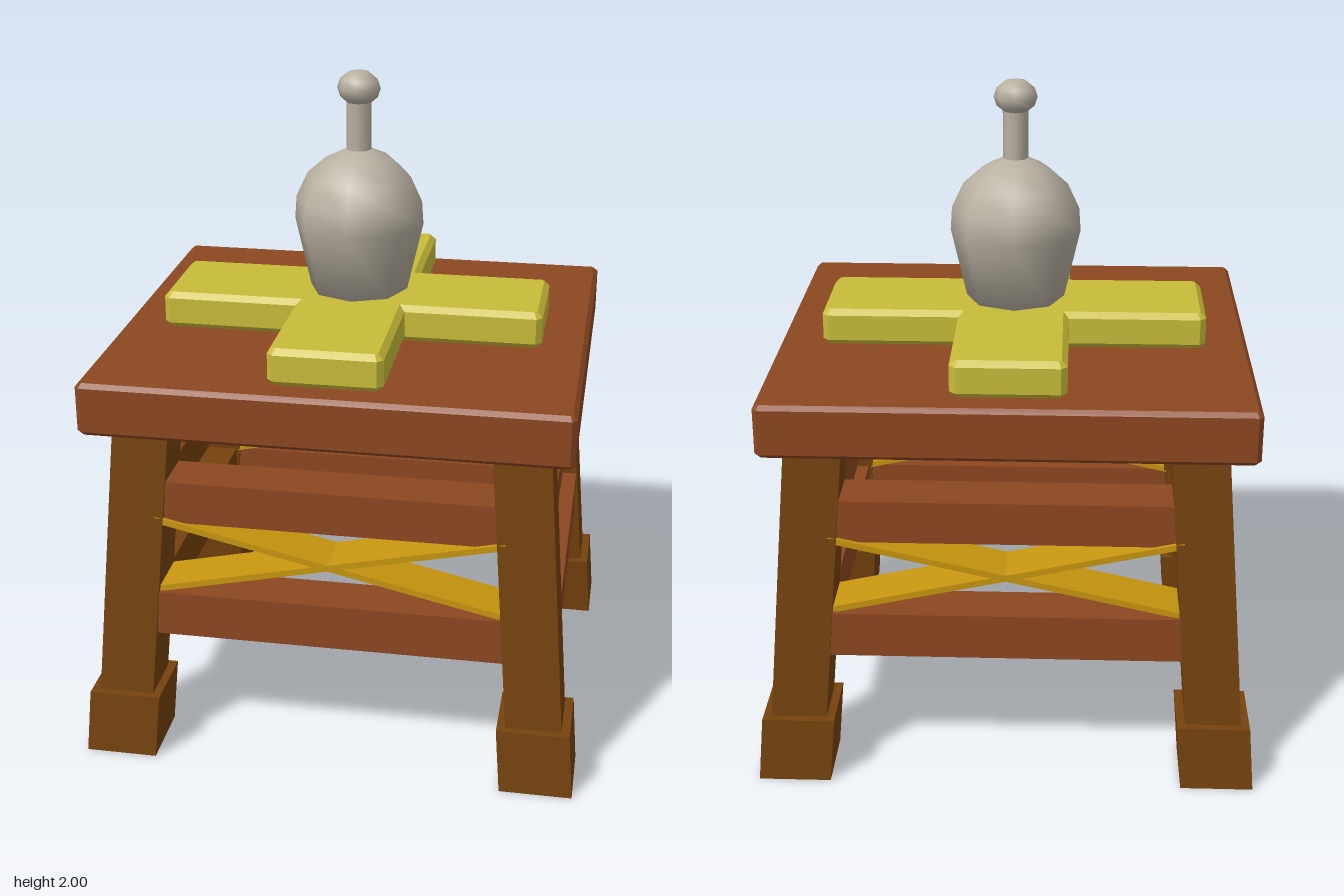
import * as THREE from 'three';

const material = (name, color, extra = {}) => {
  const m = new THREE.MeshStandardMaterial({ color, ...extra });
  m.name = name;
  return m;
};

export function createModel() {
  const model = new THREE.Group();
  model.name = 'stoolWithBell';
  const redWood = material('redWood', 0x8d4721);
  const darkWood = material('darkWood', 0x75420d);
  const yellow = material('yellowPaint', 0xc8bc3a);
  const gold = material('goldStrap', 0xc8960f);
  const metal = material('paleMetal', 0xb8b0a0);

  const add = (name, geometry, mat, x = 0, y = 0, z = 0) => {
    const mesh = new THREE.Mesh(geometry, mat);
    mesh.name = name;
    mesh.position.set(x, y, z);
    model.add(mesh);
    return mesh;
  };

  // Upright slab of a given outline with chamfered top and bottom edges
  const slab = (points, height, b) => {
    const shape = new THREE.Shape(points.map(([x, y]) => new THREE.Vector2(x, y)));
    return new THREE.ExtrudeGeometry(shape, {
      depth: height - 2 * b, bevelThickness: b, bevelSize: b, bevelOffset: -b, bevelSegments: 1,
    }).rotateX(-Math.PI / 2).translate(0, b, 0);
  };

  // Table top with cut corners
  const W = 0.708, D = 0.65, c = 0.014;
  add('tableTop', slab([
    [W, -D + c], [W, D - c], [W - c, D], [-W + c, D],
    [-W, D - c], [-W, -D + c], [-W + c, -D], [W - c, -D],
  ], 0.16, 0.013), redWood, -0.006, 1.06, 0);

  // Raised cross: one arm outline turned four times
  const a = 0.166, L = 0.576, k = 0.018, cross = [];
  for (let i = 0; i < 4; i++) {
    const s = Math.round(Math.sin(i * Math.PI / 2)), t = Math.round(Math.cos(i * Math.PI / 2));
    for (const [x, y] of [[a, -a], [L - k, -a], [L, -a + k], [L, a - k], [L - k, a]]) {
      cross.push([x * t - y * s, x * s + y * t]);
    }
  }
  add('raisedCross', slab(cross, 0.112, 0.017), yellow, -0.007, 1.22, 0);

  // Bell, handle and knob
  const profile = [[0, 1.325], [0.148, 1.325], [0.197, 1.54], [0.192, 1.61], [0.157, 1.685],
    [0.1, 1.735], [0.035, 1.765], [0, 1.765]].map(([r, y]) => new THREE.Vector2(r, y));
  add('bell', new THREE.LatheGeometry(profile, 8), metal, -0.007);
  add('bellHandle', new THREE.CylinderGeometry(0.038, 0.038, 0.17, 8), metal, -0.007, 1.835, 0);
  const knob = add('bellKnob', new THREE.SphereGeometry(0.065, 8, 6), metal, -0.007, 1.947, 0);
  knob.scale.y = 0.82;

  // Splayed legs: square sections down to a wider, hollow foot
  const legX = (y) => 0.552 + (1.06 - y) * 0.079;
  const legZ = (y) => 0.482 + (1.06 - y) * 0.067;
  const sections = [[1.08, 0.083], [0.2, 0.083], [0.2, 0.108], [0, 0.108], [0, 0.093], [0.12, 0.083]];
  const legGeometry = (sx, sz) => {
    const rings = sections.map(([y, h]) => [[1, 1], [-1, 1], [-1, -1], [1, -1]]
      .map(([u, v]) => [sx * legX(y) + u * h, y, sz * legZ(y) + v * h]));
    const pos = [];
    const quad = (p, q, r, s) => pos.push(...p, ...q, ...r, ...p, ...r, ...s);
    for (let i = 0; i < rings.length - 1; i++) {
      for (let j = 0; j < 4; j++) {
        const n = (j + 1) % 4;
        quad(rings[i][j], rings[i][n], rings[i + 1][n], rings[i + 1][j]);
      }
    }
    quad(...rings[rings.length - 1]);
    const g = new THREE.BufferGeometry();
    g.setAttribute('position', new THREE.Float32BufferAttribute(pos, 3));
    g.computeVertexNormals();
    return g;
  };
  for (const sx of [-1, 1]) {
    for (const sz of [-1, 1]) {
      add((sz > 0 ? 'front' : 'back') + (sx > 0 ? 'Left' : 'Right') + 'Leg', legGeometry(sx, sz), darkWood);
    }
  }

  // Rails between the legs, upper and lower on every side
  for (const [level, y, h] of [['Upper', 0.83, 0.13], ['Lower', 0.47, 0.14]]) {
    for (const s of [-1, 1]) {
      add((s > 0 ? 'front' : 'back') + level + 'Rail',
        new THREE.BoxGeometry(2 * legX(y), h, 0.15), redWood, 0, y, s * legZ(y));
      add((s > 0 ? 'left' : 'right') + level + 'Rail',
        new THREE.BoxGeometry(0.15, h, 2 * legZ(y)), s > 0 ? redWood : darkWood, s * legX(y), y, 0);
    }
  }

  // Crossed straps on the front and back
  for (const sz of [-1, 1]) {
    for (const tilt of [-1, 1]) {
      const strap = add((sz > 0 ? 'front' : 'back') + 'Strap',
        new THREE.BoxGeometry(1.06, 0.019, 0.15), gold, 0, 0.66, sz * legZ(0.66));
      strap.rotation.z = tilt * 0.219;
    }
  }
  return model;
}
